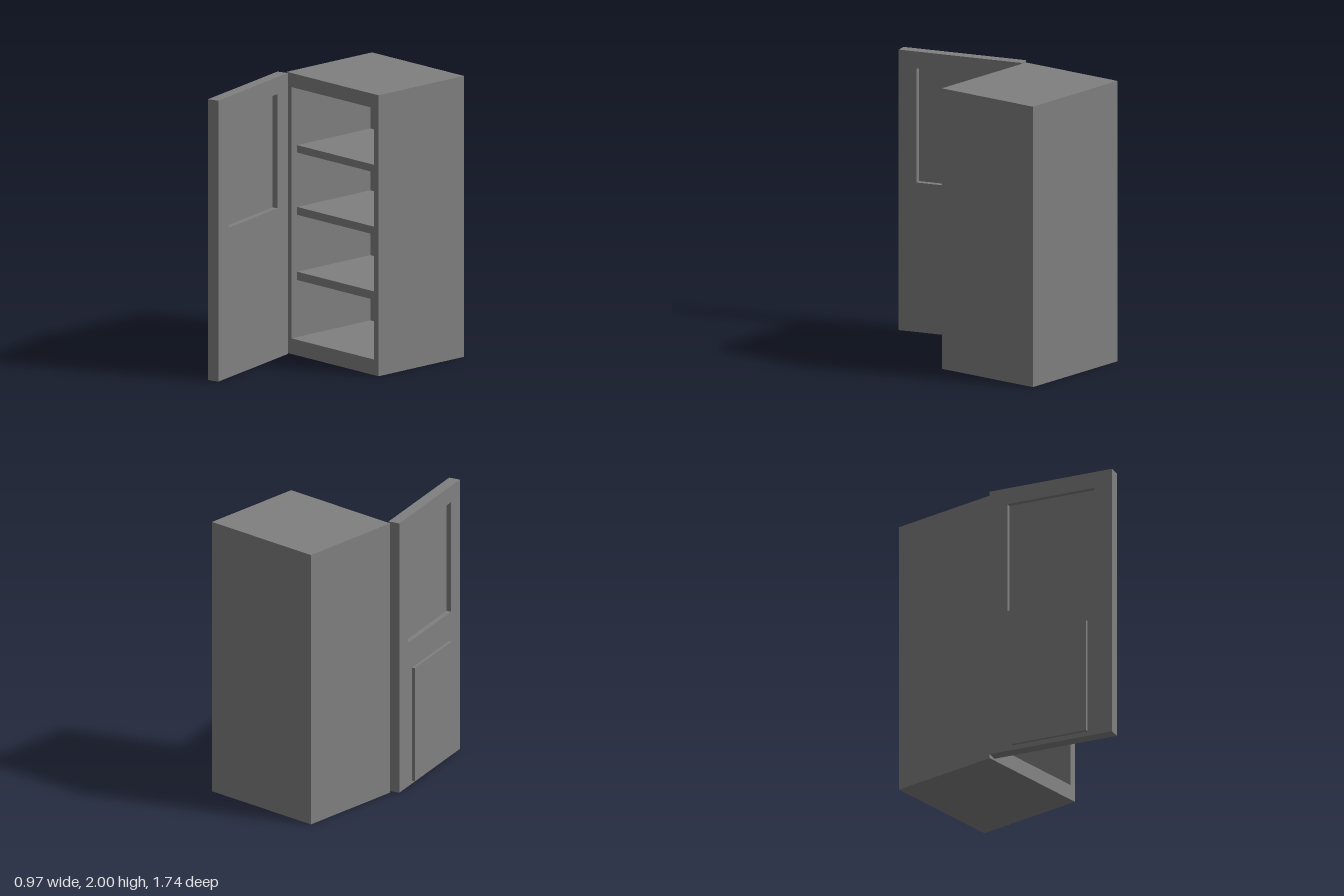
import * as THREE from 'three';

const paint = new THREE.MeshStandardMaterial({ color: 0x808080 });
paint.name = 'grey paint';

// Box given by its minimum and maximum corners
function box(name, [x0, y0, z0], [x1, y1, z1]) {
  const mesh = new THREE.Mesh(new THREE.BoxGeometry(x1 - x0, y1 - y0, z1 - z0), paint);
  mesh.position.set((x0 + x1) / 2, (y0 + y1) / 2, (z0 + z1) / 2);
  mesh.name = name;
  return mesh;
}

function rectangle(PathType, x0, y0, x1, y1) {
  return new PathType([[x0, y0], [x1, y0], [x1, y1], [x0, y1]].map(([x, y]) => new THREE.Vector2(x, y)));
}

// Rectangular frame with a rectangular opening, extruded along +z from z0
function frame(name, outer, inner, z0, depth) {
  const shape = rectangle(THREE.Shape, ...outer);
  shape.holes.push(rectangle(THREE.Path, ...inner));
  const mesh = new THREE.Mesh(new THREE.ExtrudeGeometry(shape, { depth, bevelEnabled: false }), paint);
  mesh.position.z = z0;
  mesh.name = name;
  return mesh;
}

export function createModel() {
  const model = new THREE.Group();
  model.name = 'cupboard';

  // Cabinet body: open-fronted carcass with a back wall
  const left = -0.438, right = 0.487, back = -0.871, front = -0.061;
  const wall = 0.047, backWall = 0.06;
  const cabinet = new THREE.Group();
  cabinet.name = 'cabinet';
  cabinet.add(
    frame('carcass', [left, 0, right, 2], [left + wall, 0.111, right - wall, 1.9],
      back + backWall, front - back - backWall),
    box('backWall', [left, 0, back], [right, 2, back + backWall]),
  );

  // Shelves, set back a little from the opening
  for (const [bottom, top] of [[0.517, 0.576], [0.981, 1.037], [1.424, 1.477]]) {
    cabinet.add(box('shelf', [left + wall, bottom, back + backWall], [right - wall, top, front - 0.055]));
  }

  // Door: local x runs away from the hinge, local z points out of its outer face
  const width = 0.925, thickness = 0.083;
  const windowArea = [0.134, 1.066, 0.791, 1.88];
  const door = new THREE.Group();
  door.name = 'door';
  door.position.set(-0.487, 0, -0.02);
  door.rotation.y = -THREE.MathUtils.degToRad(74.5);
  door.add(
    frame('doorFrame', [0, 0, width, 2], windowArea, -thickness, thickness),
    box('windowPane', [windowArea[0], windowArea[1], -0.04], [windowArea[2], windowArea[3], -0.035]),
    box('lowerPanel', [0.177, 0.03, 0.008], [0.743, 0.868, 0.03]),
  );

  model.add(cabinet, door);
  return model;
}
